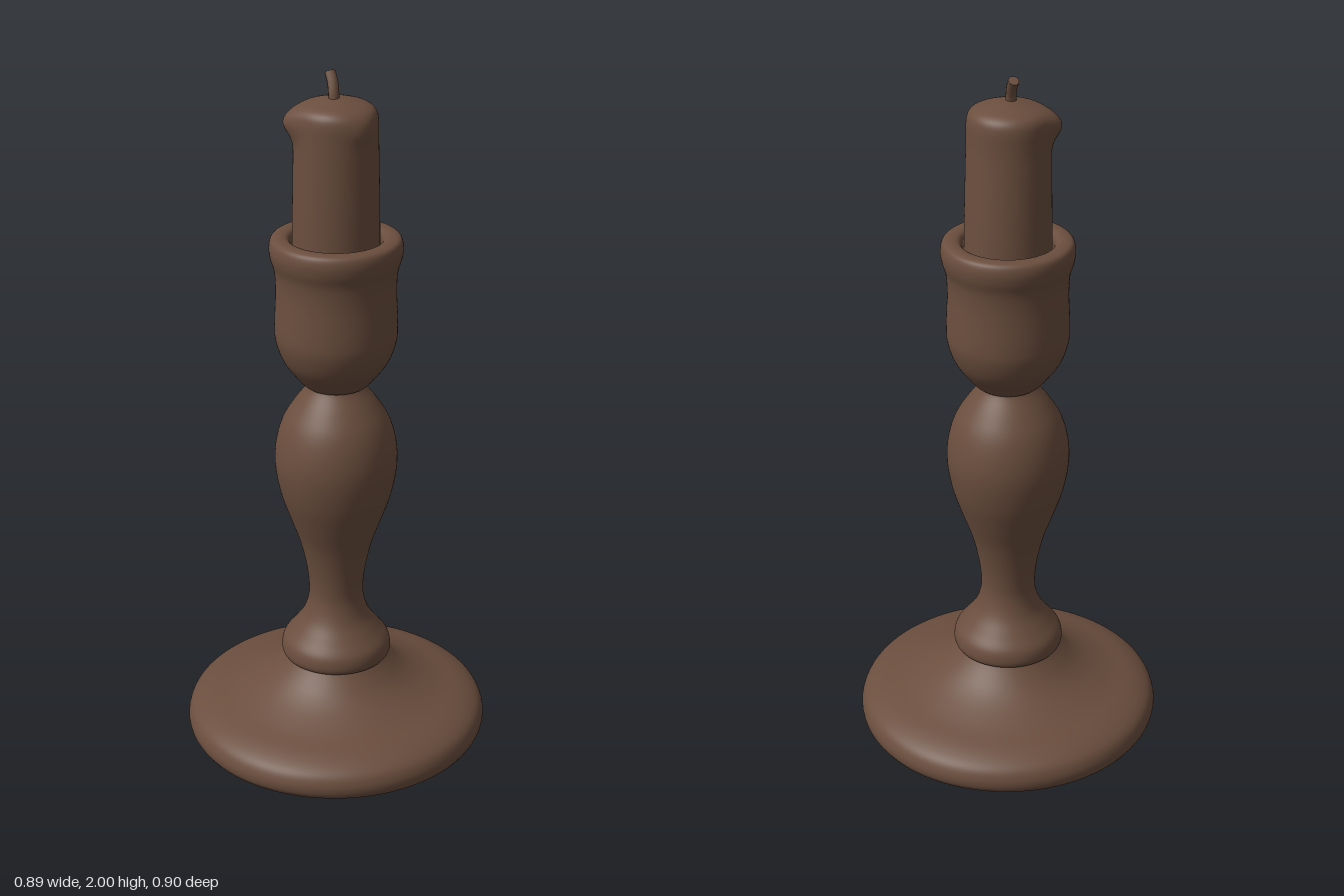
import * as THREE from 'three';
import { mergeVertices } from 'three/addons/utils/BufferGeometryUtils.js';

const brown = new THREE.MeshStandardMaterial({ color: 0x6b4e3e });
brown.name = 'warm brown';

// Smooth profile through [radius, height] points
function profile(points, samples) {
  const curve = new THREE.SplineCurve(points.map(([r, y]) => new THREE.Vector2(r, y)));
  return curve.getPoints(samples).map((p) => new THREE.Vector2(Math.max(p.x, 0), p.y));
}

function addMesh(group, name, geometry) {
  const mesh = new THREE.Mesh(geometry, brown);
  mesh.name = name;
  group.add(mesh);
  return mesh;
}

function turned(group, name, points, samples = 48) {
  return addMesh(group, name, new THREE.LatheGeometry(profile(points, samples), 80));
}

// Candle body with a leaning back and wax lips at the top edge
function candleGeometry() {
  const side = [[0.121, 1.48], [0.12, 1.6], [0.118, 1.72], [0.116, 1.82], [0.115, 1.87],
    [0.108, 1.895], [0.09, 1.91], [0.06, 1.92], [0.03, 1.927], [0, 1.93]];
  const geometry = new THREE.LatheGeometry(profile(side, 60), 72);
  const pos = geometry.attributes.position;
  const bump = (x, z, y, cx, cz, cy, w, h) =>
    Math.exp(-((x - cx) ** 2 + (z - cz) ** 2) / (w * w) - ((y - cy) / h) ** 2);
  for (let i = 0; i < pos.count; i++) {
    let x = pos.getX(i), y = pos.getY(i), z = pos.getZ(i);
    const t = THREE.MathUtils.clamp((y - 1.5) / 0.3, 0, 1);
    const big = bump(x, z, y, -0.095, 0.065, 1.865, 0.045, 0.04);
    const small = bump(x, z, y, 0.105, 0.05, 1.87, 0.045, 0.04);
    x += 0.004 * t - 0.026 * big + 0.006 * small;
    z = z * (1 - 0.05 * t) + 0.008 * t + 0.012 * big + 0.004 * small;
    y -= 0.012 * small;
    pos.setXYZ(i, x, y, z);
  }
  geometry.deleteAttribute('normal');
  geometry.deleteAttribute('uv');
  const merged = mergeVertices(geometry, 1e-5);
  merged.computeVertexNormals();
  return merged;
}

export function createModel() {
  const model = new THREE.Group();
  model.name = 'candlestick';

  // Foot: flat underside and flared top
  addMesh(model, 'footUnderside', new THREE.CircleGeometry(0.437, 80).rotateX(Math.PI / 2)).scale.x = 0.987;
  turned(model, 'foot', [[0.437, 0], [0.447, 0.018], [0.447, 0.045], [0.43, 0.075], [0.385, 0.1],
    [0.31, 0.124], [0.245, 0.152], [0.2, 0.18], [0.165, 0.212], [0.145, 0.235]]).scale.x = 0.987;

  // Stem: collar bead, narrow waist and vase-shaped swelling
  turned(model, 'stem', [[0.14, 0.23], [0.156, 0.238], [0.161, 0.258], [0.154, 0.288], [0.128, 0.322],
    [0.1, 0.362], [0.084, 0.405], [0.079, 0.45], [0.086, 0.52], [0.105, 0.605], [0.135, 0.69],
    [0.161, 0.77], [0.175, 0.855], [0.171, 0.925], [0.152, 0.99], [0.119, 1.045], [0.085, 1.09],
    [0.078, 1.105]], 90);

  // Socket cup with a rolled rim, open at the top
  turned(model, 'cup', [[0.075, 1.098], [0.09, 1.103], [0.117, 1.133], [0.15, 1.18], [0.169, 1.235],
    [0.172, 1.285], [0.168, 1.38], [0.171, 1.44], [0.182, 1.48], [0.185, 1.51], [0.178, 1.533],
    [0.158, 1.54], [0.136, 1.536], [0.126, 1.52], [0.122, 1.49], [0.06, 1.485], [0, 1.485]], 90);

  addMesh(model, 'candle', candleGeometry());

  // Bent wick with a flat cut end
  const path = new THREE.CatmullRomCurve3([[0.004, 1.91, 0.018], [0, 1.94, 0.014],
    [-0.007, 1.965, 0.006], [-0.021, 1.991, -0.005]].map((p) => new THREE.Vector3(...p)));
  addMesh(model, 'wick', new THREE.TubeGeometry(path, 14, 0.015, 10));
  const tip = addMesh(model, 'wickTip', new THREE.CircleGeometry(0.015, 10));
  const end = path.getPoint(1);
  tip.position.copy(end);
  tip.lookAt(end.clone().add(path.getTangent(1)));

  return model;
}
